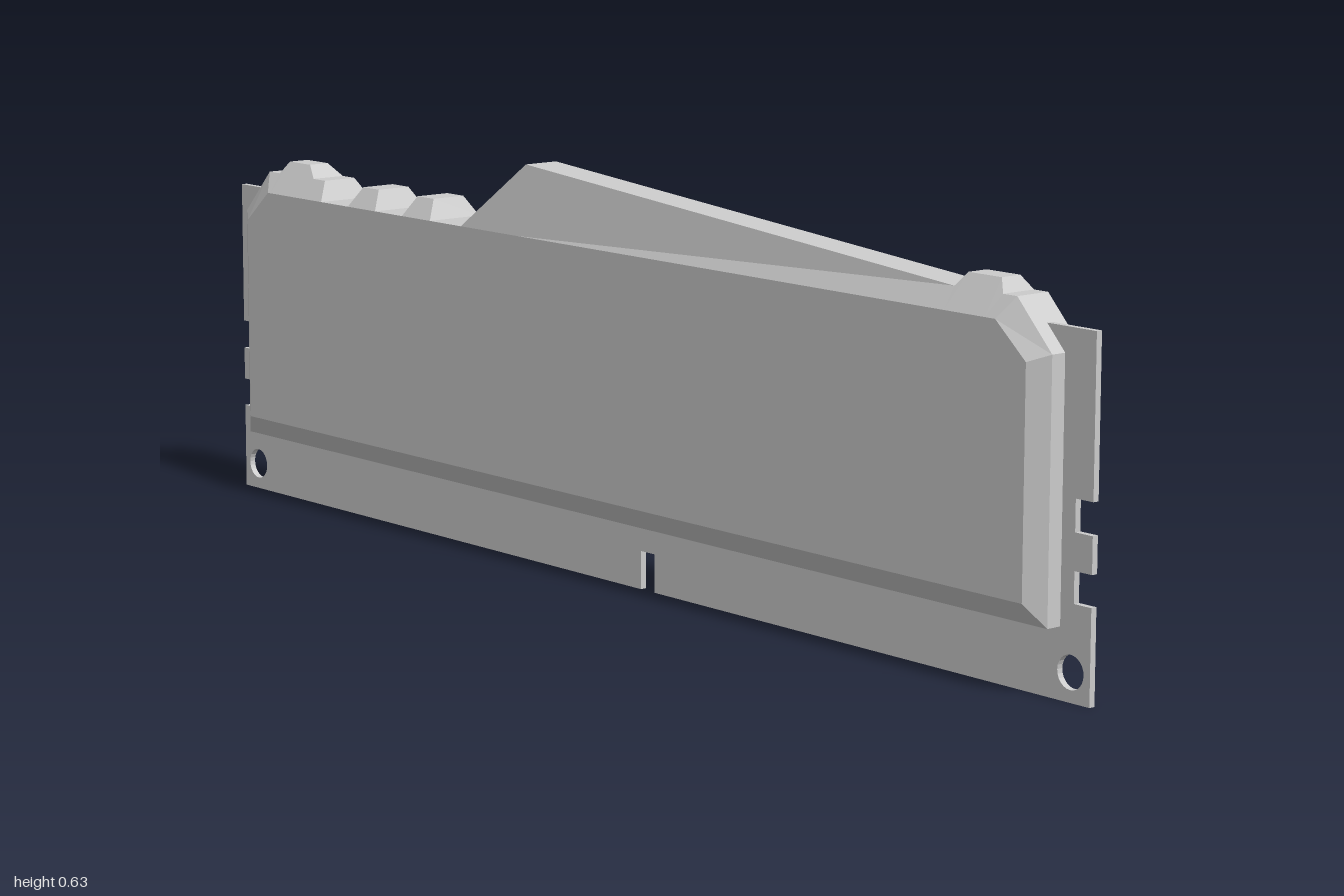
import * as THREE from 'three';

const grey = () => new THREE.MeshStandardMaterial({ color: 0xcccccc, flatShading: true });

// Thin circuit board with edge notches, a key slot and two corner holes
function makeBoard() {
  const top = 0.522, inset = 0.967;
  const notches = [[0.14, 0.186], [0.24, 0.287]];
  const right = [];
  for (const [a, b] of notches) right.push([1, a], [inset, a], [inset, b], [1, b]);
  const left = right.map(([x, y]) => [-x, y]).reverse();
  const outline = [
    [-1, 0], [0.052, 0], [0.052, 0.06], [0.084, 0.06], [0.084, 0], [1, 0],
    ...right, [1, top], [-1, top], ...left,
  ];
  const shape = new THREE.Shape(outline.map(([x, y]) => new THREE.Vector2(x, y)));
  for (const x of [-0.963, 0.963]) {
    shape.holes.push(new THREE.Path().absarc(x, 0.043, 0.025, 0, Math.PI * 2, true));
  }
  const geo = new THREE.ExtrudeGeometry(shape, { depth: 0.01, bevelEnabled: false, curveSegments: 12 });
  geo.translate(0, 0, -0.005);
  const mesh = new THREE.Mesh(geo, grey());
  mesh.name = 'circuitBoard';
  return mesh;
}

// Heat spreader: a rim outline joined by bevels to a raised flat face on both sides
function makeSpreader() {
  const base = 0.525, step = 0.557, tab = 0.577;
  const face = 0.05, rim = 0.03, slim = 0.018;
  const points = []; // clockwise from the front: rim point and its matching face point
  const add = (x, y, depth, fx, fy = base) => points.push({
    outer: [x, y, depth], inner: [fx, fy, face],
  });

  // left end and its raised tab
  add(-0.95, 0.104, rim, -0.92, 0.137);
  add(-0.95, 0.485, rim, -0.92, 0.473);
  add(-0.882, step, rim, -0.86);
  add(-0.853, step, rim, -0.853);
  add(-0.84, tab, slim, -0.84);
  add(-0.783, tab, slim, -0.783);
  add(-0.757, step, rim, -0.757);
  add(-0.725, step, rim, -0.709);
  add(-0.709, base, face, -0.709);
  // two separate teeth
  for (const x of [-0.598, -0.452]) {
    add(x - 0.037, base, face, x - 0.037);
    add(x - 0.021, step, rim, x - 0.037);
    add(x + 0.021, step, rim, x + 0.037);
    add(x + 0.037, base, face, x + 0.037);
  }
  // long sloping fin
  add(-0.335, base, face, -0.335);
  add(-0.195, 0.635, rim, -0.195);
  add(0.752, step, rim, 0.752);
  // right tab and end
  add(0.767, tab, slim, 0.767);
  add(0.832, tab, slim, 0.832);
  add(0.847, step, rim, 0.847);
  add(0.874, step, rim, 0.852);
  add(0.942, 0.485, rim, 0.912, 0.473);
  add(0.942, 0.104, rim, 0.912, 0.137);

  const positions = [];
  const tri = (a, b, c) => {
    const [A, B, C] = [a, b, c].map((p) => new THREE.Vector3(...p));
    if (new THREE.Triangle(A, B, C).getArea() > 1e-8) positions.push(...a, ...b, ...c);
  };
  const quad = (a, b, c, d) => { tri(a, b, c); tri(a, c, d); };
  const flip = ([x, y, z]) => [x, y, -z];
  const middle = [0, 0.3, face];

  points.forEach((p, i) => {
    const q = points[(i + 1) % points.length];
    // rim wall
    quad(p.outer, q.outer, flip(q.outer), flip(p.outer));
    // bevels
    quad(p.inner, q.inner, q.outer, p.outer);
    quad(...[p.outer, q.outer, q.inner, p.inner].map(flip));
    // flat faces
    tri(middle, q.inner, p.inner);
    tri(...[middle, p.inner, q.inner].map(flip));
  });

  const geo = new THREE.BufferGeometry();
  geo.setAttribute('position', new THREE.Float32BufferAttribute(positions, 3));
  geo.computeVertexNormals();
  const mesh = new THREE.Mesh(geo, grey());
  mesh.name = 'heatSpreader';
  return mesh;
}

export function createModel() {
  const model = new THREE.Group();
  model.name = 'memoryModule';
  model.add(makeBoard(), makeSpreader());
  return model;
}
